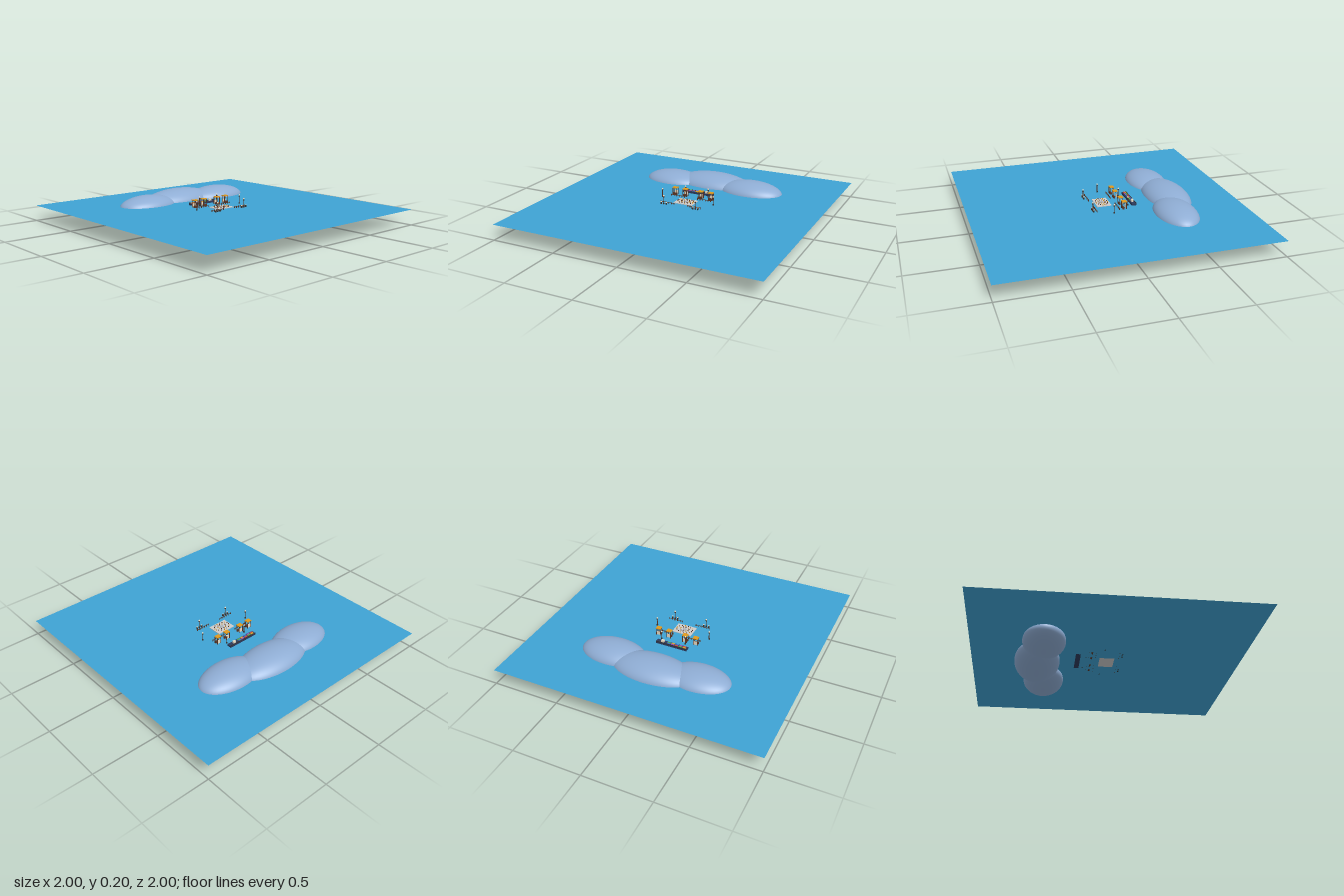
import * as THREE from 'three';

const WATER = 0.117;
const mats = {};
const mat = (color) => (mats[color] ??= new THREE.MeshStandardMaterial({ color }));

function add(parent, name, geometry, color, x, y, z) {
  const mesh = new THREE.Mesh(geometry, mat(color));
  mesh.name = name;
  mesh.position.set(x, y, z);
  parent.add(mesh);
  return mesh;
}

// Parts are placed by the height of their base above the ground plane
const box = (p, name, c, w, h, d, x, base, z) =>
  add(p, name, new THREE.BoxGeometry(w, h, d), c, x, WATER + base + h / 2, z);
const post = (p, name, c, r, h, x, base, z, sides = 10) =>
  add(p, name, new THREE.CylinderGeometry(r, r, h, sides), c, x, WATER + base + h / 2, z);

function group(parent, name) {
  const g = new THREE.Group();
  g.name = name;
  parent.add(g);
  return g;
}

const WOOD = 0x5a3626, DARK = 0x33302e, ORANGE = 0xe09a1e, STONE = 0xc4c4c8, CREAM = 0xe8dcc4;

// Slim post with a foot, a collar and a small lamp on top
function lampPost(parent, x, z, h = 0.066) {
  const g = group(parent, 'lampPost');
  post(g, 'lampFoot', DARK, 0.006, 0.008, x, 0, z);
  post(g, 'lampPole', WOOD, 0.003, h, x, 0, z);
  post(g, 'lampCollar', DARK, 0.006, 0.004, x, h - 0.012, z);
  add(g, 'lamp', new THREE.SphereGeometry(0.006, 12, 8), CREAM, x, WATER + h, z);
}

// Market stall: four legs, counter, back panel and flat awning
function stall(parent, x, z) {
  const g = group(parent, 'stall');
  for (const sx of [-1, 1]) for (const sz of [-1, 1])
    box(g, 'stallLeg', WOOD, 0.004, 0.056, 0.004, x + sx * 0.016, 0, z + sz * 0.014);
  box(g, 'stallCounter', WOOD, 0.034, 0.016, 0.012, x, 0, z + 0.008);
  box(g, 'stallBack', CREAM, 0.026, 0.028, 0.003, x, 0.004, z - 0.012);
  box(g, 'stallAwning', ORANGE, 0.038, 0.006, 0.034, x, 0.054, z);
}

// Fence run: short posts joined by segments of rail
function fence(parent, x0, z) {
  const g = group(parent, 'fence');
  for (let i = 0; i < 6; i++) {
    const x = x0 + i * 0.022;
    box(g, 'fencePost', WOOD, 0.004, 0.014, 0.005, x, 0, z);
    if (i < 5) box(g, 'fenceRail', WOOD, 0.014, 0.003, 0.003, x + 0.011, 0.008, z);
  }
}

export function createModel() {
  const model = new THREE.Group();
  model.name = 'waterfrontPlaza';

  // Ground sheet
  const water = add(model, 'groundPlane', new THREE.PlaneGeometry(2, 2), 0x3fa3d4, 0, WATER, 0);
  water.rotation.x = -Math.PI / 2;
  water.material.side = THREE.DoubleSide;

  // Three overlapping hills
  const hills = group(model, 'hills');
  for (const [x, y, z, rx, ry, rz] of [
    [-0.33, 0.103, -0.475, 0.24, 0.084, 0.155],
    [0, 0.1, -0.517, 0.32, 0.1, 0.168],
    [0.34, 0.104, -0.46, 0.255, 0.091, 0.155],
  ]) {
    add(hills, 'hill', new THREE.SphereGeometry(1, 48, 32), 0x8fadd4, x, y, z).scale.set(rx, ry, rz);
  }

  // Paved plaza with a central fountain and rings of seats
  const plaza = group(model, 'plaza');
  box(plaza, 'paving', STONE, 0.15, 0.005, 0.11, 0, 0, 0);
  post(plaza, 'fountainBasin', 0xaeb2b8, 0.014, 0.006, 0, 0.005, 0, 20);
  post(plaza, 'fountainStem', STONE, 0.004, 0.01, 0, 0.005, 0);
  for (const [n, rx, rz] of [[10, 0.034, 0.026], [16, 0.062, 0.043]])
    for (let i = 0; i < n; i++) {
      const a = ((i + 0.5) / n) * Math.PI * 2;
      box(plaza, 'seat', i % 3 ? WOOD : ORANGE, 0.005, 0.008, 0.005,
        Math.cos(a) * rx, 0.005, Math.sin(a) * rz);
    }

  // Fences in front of and behind the plaza, with a gap in the middle
  for (const z of [-0.087, 0.085]) {
    fence(model, -0.165, z);
    fence(model, 0.055, z);
  }

  // Row of stalls
  for (const x of [-0.15, -0.065, 0.065, 0.15]) stall(model, x, -0.126);

  // Lamp posts beside and behind the plaza
  for (const s of [-1, 1]) lampPost(model, s * 0.213, -0.03);
  lampPost(model, -0.08, -0.158);
  lampPost(model, 0.105, -0.172);

  // Front clusters of three: a lamp between two low bollards
  for (const s of [-1, 1]) {
    lampPost(model, s * 0.13, 0.107);
    for (const dx of [-0.021, 0.021]) {
      const x = s * 0.13 + dx;
      post(model, 'bollard', DARK, 0.007, 0.014, x, 0, 0.107);
      post(model, 'bollardCap', CREAM, 0.005, 0.004, x, 0.014, 0.107);
    }
  }

  // Long display table with coloured goods
  const table = group(model, 'displayTable');
  box(table, 'tableBase', 0x2c3a5c, 0.245, 0.014, 0.036, 0, 0, -0.217);
  box(table, 'tableRim', DARK, 0.245, 0.004, 0.004, 0, 0.014, -0.233);
  const goods = [0xe0b030, 0x58b04a, 0xd0493c, 0x9a50b8, 0x3f74c8];
  for (let i = 0; i < 5; i++)
    for (const z of [-0.223, -0.211])
      box(table, 'goods', goods[(i + (z > -0.22 ? 2 : 0)) % 5], 0.024, 0.006, 0.008,
        -0.1 + i * 0.031, 0.014, z);
  box(table, 'crate', CREAM, 0.022, 0.016, 0.016, 0.073, 0.014, -0.217);

  return model;
}
